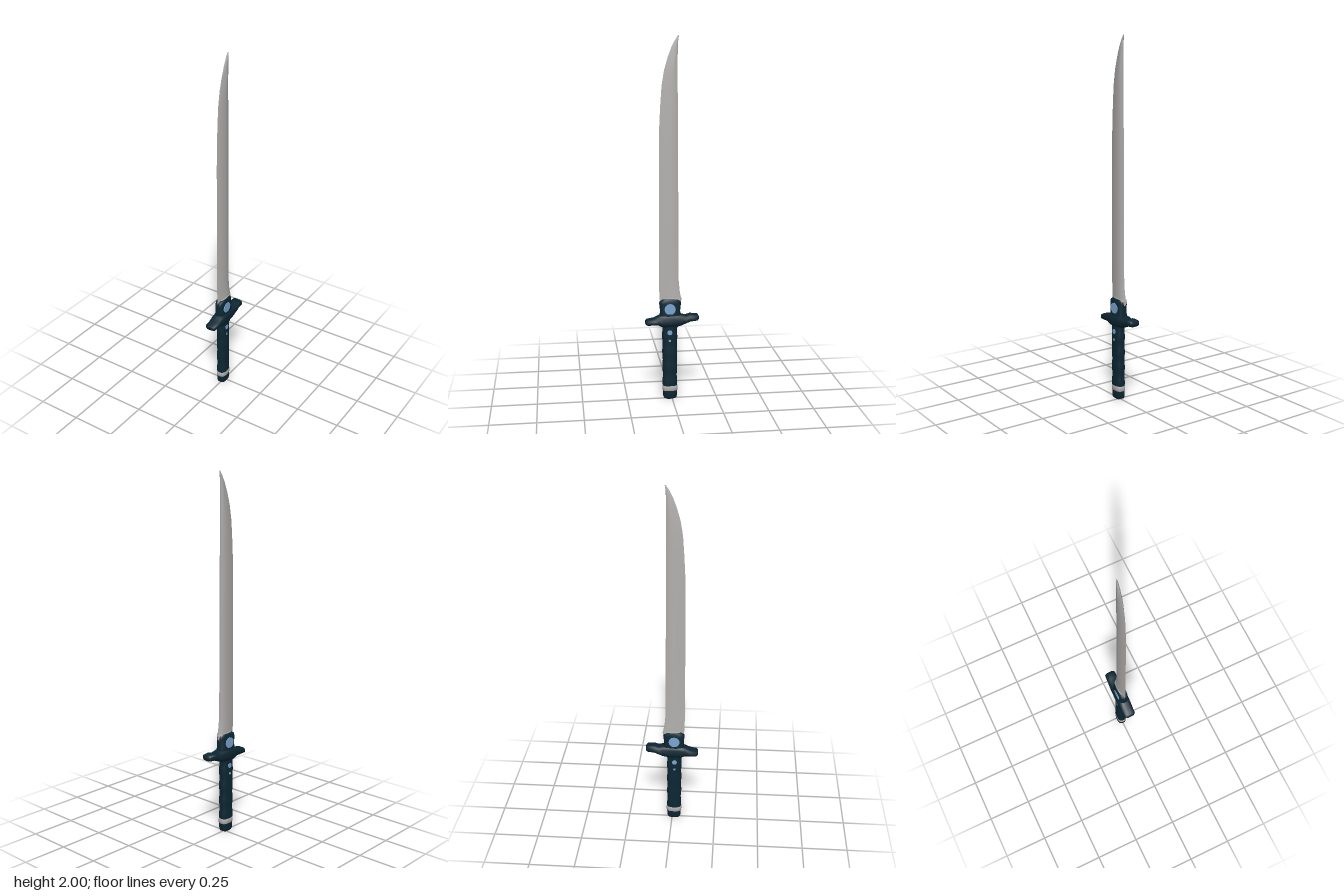
import * as THREE from 'three';
import { toCreasedNormals } from 'three/addons/utils/BufferGeometryUtils.js';

const mat = (name, color) => {
  const m = new THREE.MeshStandardMaterial({ color });
  m.name = name;
  return m;
};

// Skin a closed solid over rings of equal length, each counterclockwise seen from the far end
function loft(rings, crease = 0.7) {
  const n = rings[0].length, pos = [], idx = [];
  rings.forEach(r => r.forEach(p => pos.push(...p)));
  for (let k = 0; k < rings.length - 1; k++) {
    for (let i = 0; i < n; i++) {
      const a = k * n + i, b = k * n + (i + 1) % n;
      idx.push(a, b, b + n, a, b + n, a + n);
    }
  }
  const last = (rings.length - 1) * n;
  for (let i = 1; i < n - 1; i++) idx.push(0, i + 1, i, last, last + i, last + i + 1);
  const g = new THREE.BufferGeometry();
  g.setAttribute('position', new THREE.Float32BufferAttribute(pos, 3));
  g.setIndex(idx);
  return toCreasedNormals(g, crease);
}

// Rounded-box ring across an axis; a and b are half sizes
const soft = (v, e) => Math.sign(v) * Math.abs(v) ** e;
function ring(n, a, b, place, e = 0.7) {
  return Array.from({ length: n }, (_, i) => {
    const t = (i + 0.5) / n * Math.PI * 2;
    return place(a * soft(Math.cos(t), e), b * soft(Math.sin(t), e));
  });
}
const ringY = (y, a, zFront, zBack, n = 16) =>
  ring(n, a, (zFront - zBack) / 2, (u, v) => [u, y, (zFront + zBack) / 2 - v]);
const ringZ = (z, y, hy, hx) => ring(12, hx, hy, (u, v) => [u, y + v, z], 0.65);

export function createModel() {
  const steel = mat('steel', 0xb3b1af);
  const dark = mat('dark teal', 0x0c2733);
  const blue = mat('pale blue', 0x7ba6d2);
  const sword = new THREE.Group();
  sword.name = 'sword';
  const add = (name, geo, material) => {
    const m = new THREE.Mesh(geo, material);
    m.name = name;
    sword.add(m);
    return m;
  };

  // Blade: y, cutting edge z, spine z, half thickness
  const blade = [
    [0.55, 0.066, -0.05, 0.015], [0.58, 0.068, -0.05, 0.015], [0.62, 0.07, -0.043, 0.013],
    [0.68, 0.071, -0.037, 0.012], [1.0, 0.071, -0.035, 0.012], [1.4, 0.07, -0.032, 0.012],
    [1.52, 0.068, -0.031, 0.012], [1.64, 0.062, -0.031, 0.011], [1.74, 0.055, -0.03, 0.011],
    [1.82, 0.042, -0.03, 0.01], [1.89, 0.022, -0.03, 0.009], [1.94, 0.003, -0.031, 0.007],
    [1.975, -0.015, -0.033, 0.005], [2.0, -0.031, -0.037, 0.002],
  ].map(([y, f, b, t]) => {
    const at = (s, x) => [x, y, f + (b - f) * s];
    return [at(0, 0), at(0.25, t * 0.65), at(0.6, t), at(0.88, t * 0.9), at(1, t * 0.4),
      at(1, -t * 0.4), at(0.88, -t * 0.9), at(0.6, -t), at(0.25, -t * 0.65)];
  });
  add('blade', loft(blade, 0.8), steel);

  // Collar that holds the blade, with a steel seat on top
  add('collar', loft([
    ringY(0.42, 0.03, 0.052, -0.035), ringY(0.49, 0.031, 0.068, -0.05),
    ringY(0.51, 0.028, 0.066, -0.045), ringY(0.555, 0.027, 0.071, -0.05),
    ringY(0.57, 0.026, 0.065, -0.046), ringY(0.579, 0.023, 0.05, -0.036),
  ]), dark);
  add('bladeSeat', loft([
    ringY(0.572, 0.019, 0.05, -0.054), ringY(0.584, 0.017, 0.047, -0.052),
  ]), steel);

  // Cross guard with one arm low and one arm high: z, y, half height, half width
  add('crossGuard', loft([
    [-0.148, 0.469, 0.01, 0.02], [-0.14, 0.47, 0.018, 0.031], [-0.1, 0.469, 0.021, 0.034],
    [-0.075, 0.46, 0.022, 0.035], [-0.05, 0.458, 0.032, 0.036], [0, 0.457, 0.04, 0.037],
    [0.05, 0.456, 0.038, 0.036], [0.075, 0.458, 0.027, 0.035], [0.1, 0.452, 0.019, 0.034],
    [0.138, 0.449, 0.016, 0.032], [0.147, 0.449, 0.01, 0.022],
  ].map(s => ringZ(...s)), 1), dark);

  // Grip with gentle finger swells
  const grip = [];
  for (let i = 0; i <= 24; i++) {
    const y = 0.075 + 0.355 * i / 24;
    const w = 0.0015 * Math.sin(i * Math.PI / 3);
    grip.push(ringY(y, 0.027 + w * 0.4, 0.051 + 0.003 * i / 24 + w, -0.028 - w));
  }
  add('grip', loft(grip), dark);

  // Steel band and pommel
  add('band', loft([
    ringY(0.05, 0.027, 0.052, -0.03), ringY(0.055, 0.0285, 0.054, -0.032),
    ringY(0.073, 0.0285, 0.054, -0.032), ringY(0.079, 0.027, 0.052, -0.03),
  ]), steel);
  add('pommel', loft([
    ringY(0, 0.017, 0.034, -0.012), ringY(0.006, 0.024, 0.045, -0.024),
    ringY(0.016, 0.027, 0.05, -0.028), ringY(0.053, 0.027, 0.051, -0.029),
  ]), dark);

  // Round inlays on both faces: name, y, z, radius, outer x
  for (const side of [-1, 1]) {
    for (const [name, y, z, r, x] of [
      ['gem', 0.526, 0.013, 0.031, 0.0285],
      ['largeStud', 0.392, 0.015, 0.014, 0.028],
      ['smallStud', 0.345, 0.015, 0.007, 0.028],
    ]) {
      const inlay = add(name, new THREE.CylinderGeometry(r, r, 0.008, 12), blue);
      inlay.rotation.z = Math.PI / 2;
      inlay.position.set(side * (x - 0.003), y, z);
    }
  }
  return sword;
}
